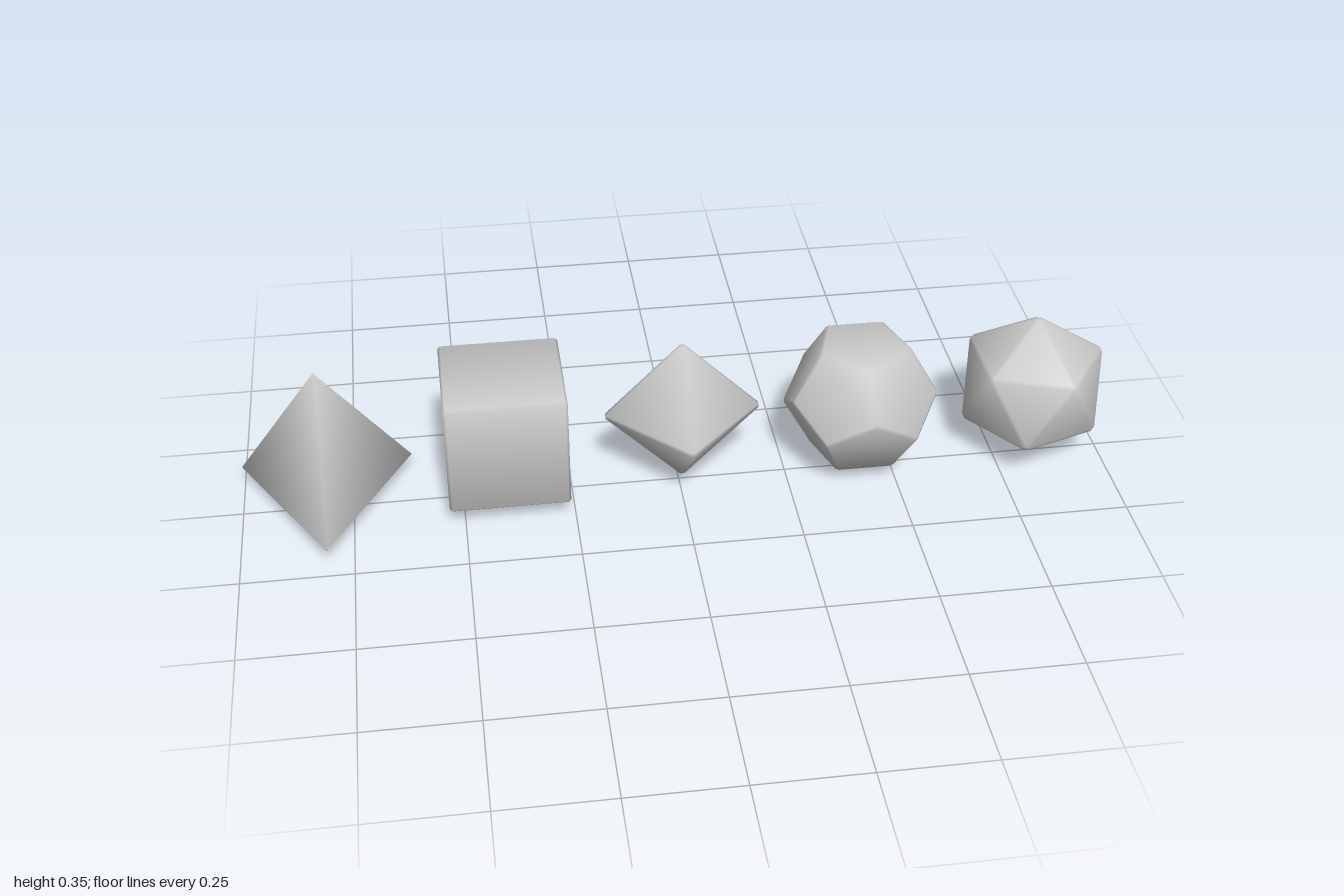
import * as THREE from 'three';
import { ConvexGeometry } from 'three/addons/geometries/ConvexGeometry.js';

const material = new THREE.MeshStandardMaterial({ color: 0xcccccc });

// n points on a level circle; the phase is in degrees, measured from +z towards +x
function ring(n, radius, y, phase = 0) {
  return Array.from({ length: n }, (_, i) => {
    const a = THREE.MathUtils.degToRad(phase) + (i * 2 * Math.PI) / n;
    return new THREE.Vector3(Math.sin(a) * radius, y, Math.cos(a) * radius);
  });
}

// The distinct outward face normals of a convex solid
function faceNormals(corners) {
  const attr = new ConvexGeometry(corners).getAttribute('normal');
  const normals = [];
  for (let i = 0; i < attr.count; i += 3) {
    const n = new THREE.Vector3().fromBufferAttribute(attr, i);
    if (!normals.some((m) => m.dot(n) > 0.99)) normals.push(n);
  }
  return normals;
}

// Regular solid with narrow bevels: every face is shrunk in its own plane, then the hull is taken
function bevelledSolid(unitCorners, radius, bevel) {
  const corners = unitCorners.map((c) => c.clone().multiplyScalar(radius));
  const normals = faceNormals(corners);
  const points = [];
  for (const n of normals) {
    const inradius = Math.max(...corners.map((c) => c.dot(n)));
    const centre = n.clone().multiplyScalar(inradius);
    for (const c of corners) {
      if (c.dot(n) > inradius - 0.005) points.push(c.clone().lerp(centre, bevel));
    }
  }

  // Soft normals: halfway between the face direction and the radial direction
  const geometry = new ConvexGeometry(points);
  const pos = geometry.getAttribute('position');
  const normalAttr = geometry.getAttribute('normal');
  for (let i = 0; i < pos.count; i++) {
    const p = new THREE.Vector3().fromBufferAttribute(pos, i);
    const face = normals.reduce((a, b) => (b.dot(p) > a.dot(p) ? b : a));
    const n = p.normalize().add(face).normalize();
    normalAttr.setXYZ(i, n.x, n.y, n.z);
  }
  return geometry;
}

export function createModel() {
  const group = new THREE.Group();
  group.name = 'regularSolids';
  const top = new THREE.Vector3(0, 1, 0);
  const bottom = new THREE.Vector3(0, -1, 0);
  const third = 1 / Math.sqrt(3);

  // Corners on a unit sphere, then sphere radius, bevel share and centre
  const solids = [
    {
      name: 'tetrahedron', radius: 0.248, bevel: 0.05, x: -0.809, y: 0.113,
      corners: [top, ...ring(3, 0.9428, -1 / 3)],
    },
    {
      name: 'cube', radius: 0.2373, bevel: 0.045, x: -0.397, y: 0.177,
      corners: [...ring(4, Math.SQRT2 * third, third, 45), ...ring(4, Math.SQRT2 * third, -third, 45)],
    },
    {
      name: 'octahedron', radius: 0.186, bevel: 0.075, x: 0.011, y: 0.176,
      corners: [top, bottom, ...ring(4, 1, 0)],
    },
    {
      name: 'dodecahedron', radius: 0.182, bevel: 0.06, x: 0.426, y: 0.177,
      corners: [
        ...ring(5, 0.60706, 0.79465), ...ring(5, 0.98225, 0.18759),
        ...ring(5, 0.98225, -0.18759, 36), ...ring(5, 0.60706, -0.79465, 36),
      ],
    },
    {
      name: 'icosahedron', radius: 0.182, bevel: 0.09, x: 0.8365, y: 0.176,
      corners: [top, bottom, ...ring(5, 0.89443, 0.44721, 90), ...ring(5, 0.89443, -0.44721, -90)],
    },
  ];

  for (const s of solids) {
    const mesh = new THREE.Mesh(bevelledSolid(s.corners, s.radius, s.bevel), material);
    mesh.name = s.name;
    mesh.position.set(s.x, s.y, -0.022);
    group.add(mesh);
  }
  return group;
}
